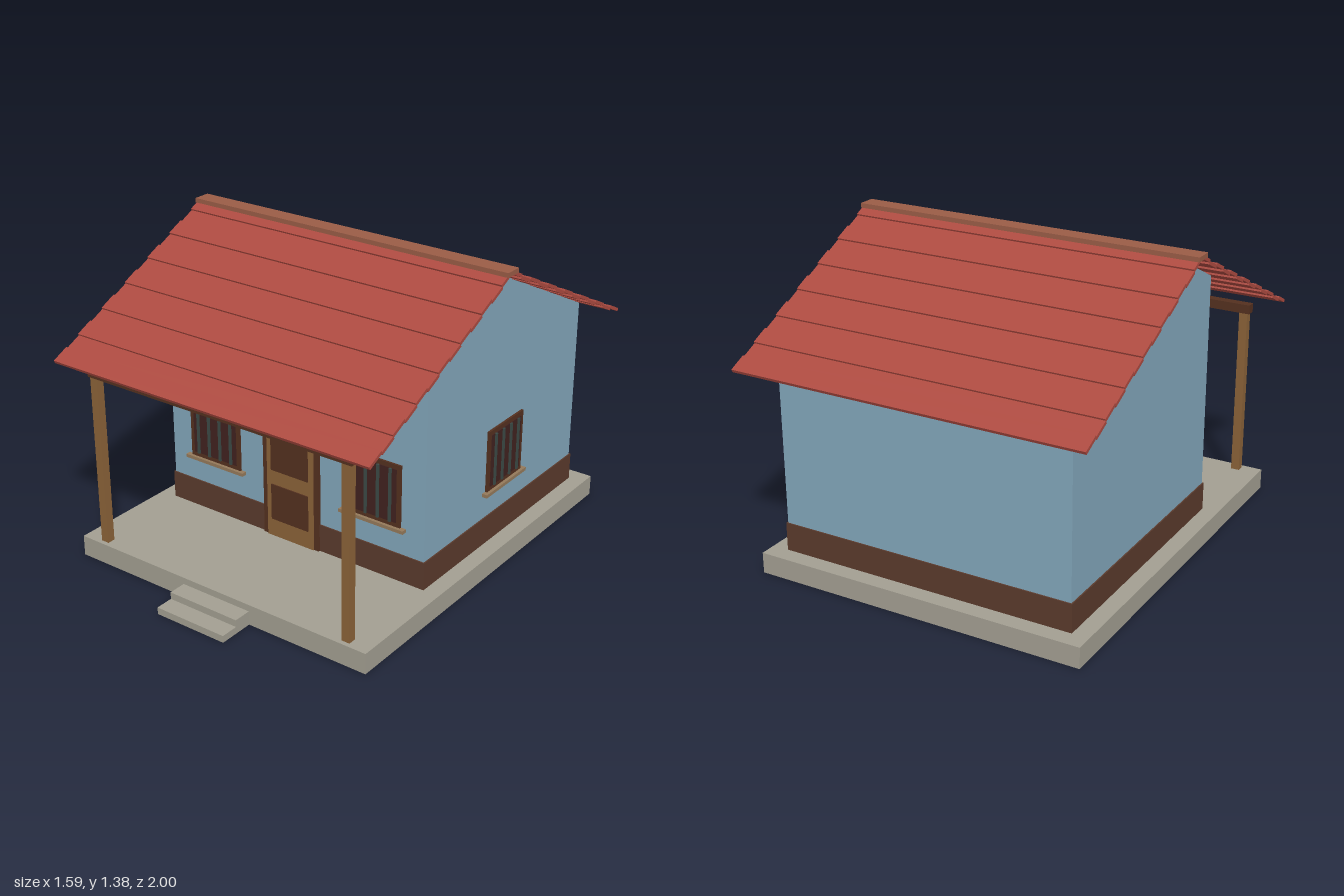
import * as THREE from 'three';

const mat = (color) => new THREE.MeshStandardMaterial({ color, flatShading: true });
const M = {
  stone: mat(0xa29e91), wall: mat(0x82a6ba), base: mat(0x5a3a2c), wood: mat(0x8a6238),
  trim: mat(0x54301f), pane: mat(0x40211f), bar: mat(0x3b4945), sill: mat(0x94795a),
  tile: mat(0xac4a40), ridge: mat(0x9a5c46),
};

// Box given by its min and max corners
function box(parent, name, material, x0, x1, y0, y1, z0, z1) {
  const mesh = new THREE.Mesh(new THREE.BoxGeometry(x1 - x0, y1 - y0, z1 - z0), material);
  mesh.position.set((x0 + x1) / 2, (y0 + y1) / 2, (z0 + z1) / 2);
  mesh.name = name;
  parent.add(mesh);
  return mesh;
}

// Barred window facing +z, wall surface at z = 0, centred on x = 0
function makeWindow(name) {
  const g = new THREE.Group();
  g.name = name;
  box(g, 'windowFrame', M.trim, -0.137, 0.137, 0.34, 0.62, -0.01, 0.01);
  box(g, 'windowPane', M.pane, -0.118, 0.118, 0.36, 0.6, -0.01, 0.013);
  for (let i = 0; i < 4; i++) {
    const x = (i - 1.5) * 0.06;
    box(g, 'windowBar', M.bar, x - 0.006, x + 0.006, 0.36, 0.6, 0.008, 0.02);
  }
  box(g, 'windowSill', M.sill, -0.16, 0.16, 0.325, 0.34, -0.01, 0.024);
  return g;
}

// Roof slope from the eave (z, y) up to the ridge, in rows of alternating height
function makeSlope(name, eaveZ, eaveY, ridgeZ, ridgeY) {
  const g = new THREE.Group();
  g.name = name;
  const rows = 13;
  const dz = ridgeZ - eaveZ, dy = ridgeY - eaveY;
  const length = Math.hypot(dz, dy);
  const geometry = new THREE.BoxGeometry(1.576, 0.014, length / rows + 0.002);
  const side = Math.sign(dz);
  for (let i = 0; i < rows; i++) {
    const t = (i + 0.5) / rows;
    const lift = i % 2 === 0 ? 0.004 : -0.004;
    const row = new THREE.Mesh(geometry, M.tile);
    row.name = 'tileRow';
    row.position.set(0, eaveY + dy * t + lift * Math.abs(dz) / length,
      eaveZ + dz * t - side * lift * dy / length);
    row.rotation.x = -Math.atan2(dy * side, Math.abs(dz));
    g.add(row);
  }
  return g;
}

export function createModel() {
  const house = new THREE.Group();
  house.name = 'house';

  // Slab and entrance steps
  box(house, 'slab', M.stone, -0.745, 0.745, 0, 0.092, -0.945, 0.84);
  box(house, 'upperStep', M.stone, -0.173, 0.173, 0, 0.062, 0.83, 0.92);
  box(house, 'lowerStep', M.stone, -0.173, 0.173, 0, 0.031, 0.83, 1.0);

  // Gabled walls: side profile extruded across the width
  const profile = new THREE.Shape([
    [-0.33, 0.09], [0.865, 0.09], [0.865, 0.958], [0.053, 1.356], [-0.33, 1.165],
  ].map(([a, y]) => new THREE.Vector2(a, y)));
  const wallGeometry = new THREE.ExtrudeGeometry(profile, { depth: 1.33, bevelEnabled: false });
  wallGeometry.translate(0, 0, -0.665).rotateY(Math.PI / 2);
  const walls = new THREE.Mesh(wallGeometry, M.wall);
  walls.name = 'walls';
  house.add(walls);
  box(house, 'baseBand', M.base, -0.671, 0.671, 0.09, 0.217, -0.871, 0.336);

  // Door
  const door = new THREE.Group();
  door.name = 'door';
  house.add(door);
  box(door, 'doorFrame', M.trim, -0.146, 0.146, 0.09, 0.678, 0.32, 0.345);
  box(door, 'doorLeaf', M.wood, -0.122, 0.122, 0.09, 0.656, 0.32, 0.35);
  for (const y of [0.175, 0.41])
    box(door, 'doorPanel', M.trim, -0.097, 0.097, y, y + 0.167, 0.33, 0.355);

  // Two front windows and one on the left wall
  for (const s of [-1, 1]) {
    const w = makeWindow('frontWindow');
    w.position.set(s * 0.416, 0, 0.33);
    house.add(w);
  }
  const sideWindow = makeWindow('sideWindow');
  sideWindow.position.set(0.665, 0, -0.265);
  sideWindow.rotation.y = Math.PI / 2;
  house.add(sideWindow);

  // Porch posts and beam
  for (const s of [-1, 1])
    box(house, 'porchPost', M.wood, s * 0.636 - 0.019, s * 0.636 + 0.019, 0.09, 0.858, 0.784, 0.82);
  box(house, 'porchBeam', M.trim, -0.665, 0.665, 0.857, 0.898, 0.782, 0.823);

  // Roof
  house.add(makeSlope('frontRoof', 0.882, 0.909, -0.053, 1.364));
  house.add(makeSlope('backRoof', -0.996, 0.909, -0.053, 1.364));
  box(house, 'ridgeCap', M.ridge, -0.793, 0.793, 1.357, 1.377, -0.093, -0.014);

  return house;
}
